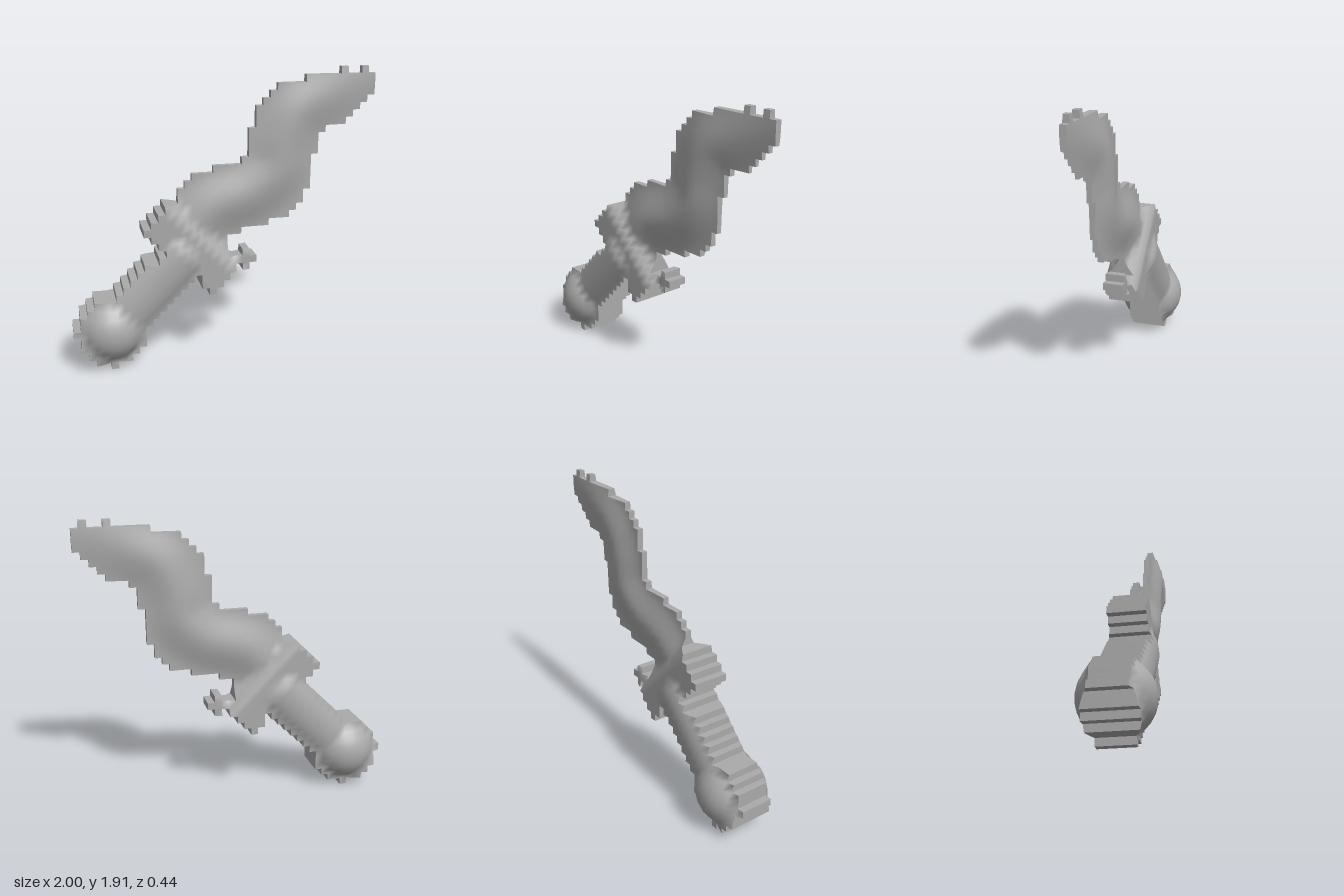
import * as THREE from 'three';

const CELL = 2 / 43;
// stepped outline: first and past-last column for every row, bottom to top
const LEFT = [5, 3, 2, 1, 1, 0, 1, 1, 2, 3, 6, 7, 8, 9, 10, 12, 13, 12, 11, 10, 11, 12, 13, 15, 15, 16, 17,
  20, 24, 25, 25, 25, 25, 26, 26, 26, 27, 28, 29, 33];
const RIGHT = [6, 8, 9, 10, 10, 10, 11, 12, 13, 14, 15, 16, 22, 23, 26, 22, 22, 22, 24, 28, 31, 32, 33, 33, 34,
  34, 34, 34, 34, 35, 35, 35, 36, 39, 40, 41, 42, 43, 43, 43];
// single cells that stick out: [column, row]
const EXTRA = [[38, 40], [41, 40], [24, 15], [24, 13], [19, 10], [18, 11], [19, 11], [20, 11]];

function filled(i, j) {
  if (EXTRA.some(([a, b]) => a === i && b === j)) return true;
  if (j === 12 && i === 17) return false; // notch between grip and guard
  const end = j === 11 ? 16 : RIGHT[j];
  return j >= 0 && j < LEFT.length && i >= LEFT[j] && i < end;
}

// wavy centre line of the blade
const ridge = new THREE.CatmullRomCurve3([
  [-0.25, 0.85], [-0.08, 1.02], [0.2, 1.12], [0.36, 1.26], [0.41, 1.45], [0.5, 1.62], [0.7, 1.72], [0.98, 1.82],
].map(([x, y]) => new THREE.Vector3(x, y, 0))).getPoints(80);

const step = THREE.MathUtils.smoothstep;
const along = (x, y) => (x + 0.75 + y - 0.27) * Math.SQRT1_2; // distance from pommel to tip
const across = (x, y) => (x + 0.75 - y + 0.27) * Math.SQRT1_2;
const dome = (d, r) => Math.sqrt(Math.max(0, 1 - (d / r) ** 2));

// half thickness at a point
function thickness(x, y) {
  const s = along(x, y), t = across(x, y);
  let d = 9;
  for (const p of ridge) d = Math.min(d, Math.hypot(x - p.x, y - p.y));
  const taper = 1 - 0.72 * step(x, 0.35, 1.05);
  const blade = (0.02 + 0.05 * (1 - step(d, 0, 0.24))) * taper;
  const guard = 0.118 * (1 - step(Math.abs(s - 0.69), 0.1, 0.26));
  const fade = 1 - step(s, 0.66, 0.92);
  const grip = s < 0.95 ? Math.max(0.157 * dome(t, 0.205), s < 0.6 ? 0.11 : 0) * fade : 0;
  const pommel = 0.222 * dome(Math.hypot(x + 0.76, y - 0.26), 0.225);
  const spur = 0.065 * (1 - step(Math.hypot(x - 0.18, y - 0.67), 0.07, 0.16));
  return Math.max(blade, guard, grip, pommel, spur);
}

function partAt(x, y) {
  const s = along(x, y);
  if (x > 0.04 && y < 0.75) return 'guardSpur';
  if (Math.hypot(x + 0.76, y - 0.26) < 0.25) return 'pommel';
  if (s > 0.84) return 'blade';
  return s > 0.57 || Math.abs(across(x, y)) > 0.24 ? 'guard' : 'grip';
}

export function createModel() {
  const model = new THREE.Group();
  const steel = new THREE.MeshStandardMaterial({ color: 0xaaaaaa });
  steel.name = 'grey';
  const parts = {};

  // thickness and slope at each grid corner
  const cache = new Map();
  function corner(i, j) {
    const key = i * 100 + j;
    if (!cache.has(key)) {
      const x = i * CELL - 1, y = j * CELL, e = 0.02;
      const gx = (thickness(x + e, y) - thickness(x - e, y)) / (2 * e);
      const gy = (thickness(x, y + e) - thickness(x, y - e)) / (2 * e);
      const n = new THREE.Vector3(-gx, -gy, 1).normalize();
      cache.set(key, { x, y, z: thickness(x, y), n });
    }
    return cache.get(key);
  }
  const quad = (part, verts) => {
    for (const k of [0, 1, 2, 0, 2, 3]) {
      part.pos.push(...verts[k].slice(0, 3));
      part.nor.push(...verts[k].slice(3));
    }
  };

  for (let j = 0; j <= 40; j++) {
    for (let i = 0; i < 43; i++) {
      if (!filled(i, j)) continue;
      const name = partAt((i + 0.5) * CELL - 1, (j + 0.5) * CELL);
      const part = (parts[name] ??= { pos: [], nor: [] });
      const c = [corner(i, j), corner(i + 1, j), corner(i + 1, j + 1), corner(i, j + 1)];
      // swollen front and back
      quad(part, c.map((v) => [v.x, v.y, v.z, v.n.x, v.n.y, v.n.z]));
      quad(part, c.map((v) => [v.x, v.y, -v.z, v.n.x, v.n.y, -v.n.z]).reverse());
      // flat walls along the stepped rim
      [[0, -1], [1, 0], [0, 1], [-1, 0]].forEach(([dx, dy], k) => {
        if (filled(i + dx, j + dy)) return;
        const a = c[k], b = c[(k + 1) % 4];
        quad(part, [[a, -1], [b, -1], [b, 1], [a, 1]].map(([v, f]) => [v.x, v.y, f * v.z, dx, dy, 0]));
      });
    }
  }

  for (const [name, { pos, nor }] of Object.entries(parts)) {
    const geometry = new THREE.BufferGeometry();
    geometry.setAttribute('position', new THREE.Float32BufferAttribute(pos, 3));
    geometry.setAttribute('normal', new THREE.Float32BufferAttribute(nor, 3));
    const mesh = new THREE.Mesh(geometry, steel);
    mesh.name = name;
    model.add(mesh);
  }
  return model;
}
